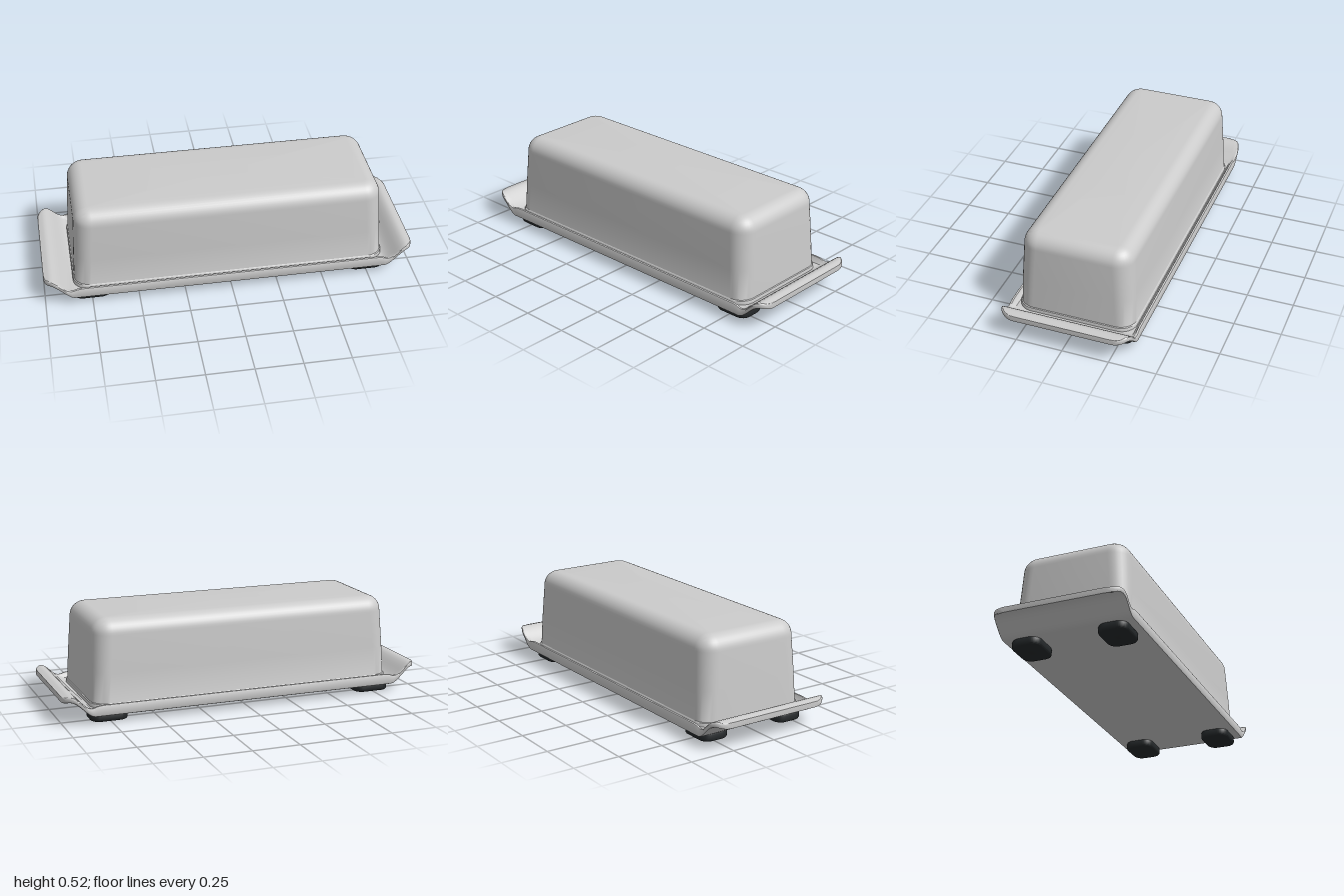
import * as THREE from 'three';
import { toCreasedNormals } from 'three/addons/utils/BufferGeometryUtils.js';

const grey = new THREE.MeshStandardMaterial({ color: 0xcccccc });
const porcelain = new THREE.MeshStandardMaterial({ color: 0xf7f9fa });
const rubber = new THREE.MeshStandardMaterial({ color: 0x25292b });

// Joins equal-length rings into a closed skin, with a fan over each end.
function loft(rings, crease) {
  const n = rings[0].length, pos = [], index = [];
  rings.forEach(r => r.forEach(p => pos.push(p.x, p.y, p.z)));
  for (let i = 0; i < rings.length - 1; i++) {
    for (let j = 0; j < n; j++) {
      const k = (j + 1) % n, a = i * n, b = a + n;
      index.push(a + j, b + k, b + j, a + j, a + k, b + k);
    }
  }
  [0, rings.length - 1].forEach((row, end) => {
    const c = new THREE.Vector3();
    rings[row].forEach(p => c.addScaledVector(p, 1 / n));
    const ci = pos.length / 3;
    pos.push(c.x, c.y, c.z);
    for (let j = 0; j < n; j++) {
      const a = row * n + j, b = row * n + (j + 1) % n;
      if (end) index.push(ci, a, b); else index.push(ci, b, a);
    }
  });
  const g = new THREE.BufferGeometry();
  g.setAttribute('position', new THREE.Float32BufferAttribute(pos, 3));
  g.setIndex(index);
  return toCreasedNormals(g, crease);
}

// Horizontal rounded rectangle, counter-clockwise seen from above.
function roundedRing(y, hx, hz, r, steps = 8) {
  const ring = [];
  const corners = [[1, 1], [1, -1], [-1, -1], [-1, 1]];
  corners.forEach(([sx, sz], q) => {
    for (let i = 0; i <= steps; i++) {
      const a = Math.PI / 2 * (1 - q - i / steps);
      ring.push(new THREE.Vector3(sx * (hx - r) + r * Math.cos(a), y, sz * (hz - r) + r * Math.sin(a)));
    }
  });
  return ring;
}

// Tray: cross-sections along x, with side lips and upswept end handles.
function trayGeometry() {
  const half = [0.5, 0.8];
  for (let i = 0; i < 10; i++) half.push(0.83 + 0.01 * i);
  for (let i = 1; i <= 8; i++) half.push(0.92 + 0.08 * Math.sin(i / 8 * Math.PI / 2));
  const xs = [...half.map(x => -x).reverse(), ...half];
  const rings = xs.map(x => {
    const ax = Math.abs(x);
    const rise = 0.083 * THREE.MathUtils.smoothstep(ax, 0.84, 0.965)
      - 0.008 * THREE.MathUtils.smoothstep(ax, 0.965, 1);
    const lip = 0.03 * (1 - THREE.MathUtils.smoothstep(ax, 0.81, 0.9));
    const t = Math.max(0, (ax - 0.92) / 0.08);
    const w = 0.352 - 0.08 * (1 - Math.sqrt(Math.max(0, 1 - t * t)));
    const bottom = 0.042 + rise, floor = 0.072 + rise, top = floor + lip;
    const side = [
      [w - 0.01, bottom], [w - 0.003, bottom + 0.003], [w, bottom + 0.01],
      [w, top - 0.007], [w - 0.003, top - 0.002], [w - 0.008, top],
      [w - 0.013, top - 0.001], [w - 0.02, floor + lip * 0.4], [w - 0.032, floor],
    ];
    const loop = [...side, ...side.map(([z, y]) => [-z, y]).reverse()];
    return loop.reverse().map(([z, y]) => new THREE.Vector3(x, y, z));
  });
  return loft(rings, 0.6);
}

// Cover: flanged foot, slightly tapering walls and a rounded shoulder.
function coverGeometry() {
  const rings = [
    roundedRing(0.068, 0.845, 0.316, 0.085),
    roundedRing(0.085, 0.845, 0.316, 0.085),
    roundedRing(0.091, 0.843, 0.314, 0.085),
    roundedRing(0.094, 0.838, 0.311, 0.085),
    roundedRing(0.25, 0.831, 0.305, 0.088),
  ];
  const r = 0.08;
  for (let i = 0; i <= 10; i++) {
    const a = i / 10 * Math.PI / 2, inset = r * (1 - Math.cos(a));
    rings.push(roundedRing(0.445 + r * Math.sin(a), 0.82 - inset, 0.294 - inset, 0.092 - inset));
  }
  return loft(rings, 0.6);
}

// Foot: soft-edged rounded pad.
function footGeometry() {
  return loft([
    roundedRing(0, 0.092, 0.072, 0.042),
    roundedRing(0.003, 0.097, 0.077, 0.047),
    roundedRing(0.009, 0.1, 0.08, 0.05),
    roundedRing(0.034, 0.1, 0.08, 0.05),
    roundedRing(0.043, 0.096, 0.076, 0.046),
  ], 0.6);
}

export function createModel() {
  const model = new THREE.Group();
  model.name = 'butterDish';
  const add = (name, geometry, material) => {
    const mesh = new THREE.Mesh(geometry, material);
    mesh.name = name;
    model.add(mesh);
    return mesh;
  };

  add('tray', trayGeometry(), grey);
  add('cover', coverGeometry(), porcelain);

  const foot = footGeometry();
  for (const [sx, side] of [[1, 'Left'], [-1, 'Right']]) {
    for (const [sz, end] of [[1, 'front'], [-1, 'back']]) {
      add(end + side + 'Foot', foot, rubber).position.set(sx * 0.75, 0, sz * 0.233);
    }
  }
  return model;
}
